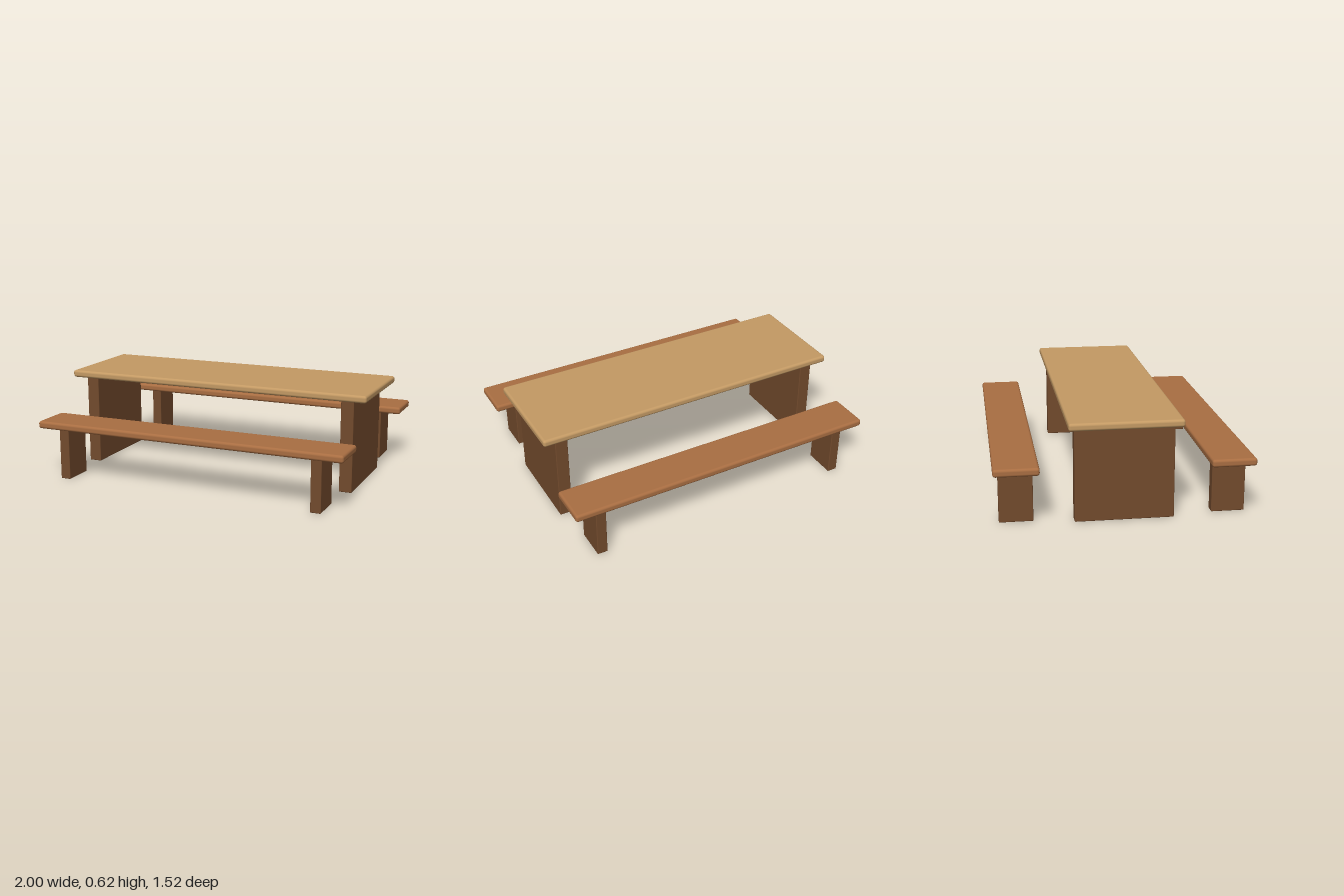
import * as THREE from 'three';
import { RoundedBoxGeometry } from 'three/addons/geometries/RoundedBoxGeometry.js';

function material(name, color) {
  const m = new THREE.MeshStandardMaterial({ color });
  m.name = name;
  return m;
}

export function createModel() {
  const group = new THREE.Group();
  group.name = 'picnicTable';
  const lightWood = material('light wood', 0xc49a64);
  const warmWood = material('warm wood', 0xa96e42);
  const darkWood = material('dark wood', 0x734b2d);

  // Rounded board standing with its underside at the given height
  function board(name, [w, h, d], radius, mat, x, bottom, z) {
    const mesh = new THREE.Mesh(new RoundedBoxGeometry(w, h, d, 3, radius), mat);
    mesh.name = name;
    mesh.position.set(x, bottom + h / 2, z);
    group.add(mesh);
  }

  // Table
  board('tableTop', [2, 0.046, 0.664], 0.016, lightWood, 0, 0.57, 0);
  for (const side of [-1, 1]) {
    const label = side > 0 ? 'left' : 'right';
    board(label + 'TableLeg', [0.08, 0.57, 0.584], 0.005, darkWood, side * 0.875, 0, 0);
  }

  // Front and back benches
  for (const end of [-1, 1]) {
    const row = end > 0 ? 'front' : 'back';
    const z = end * 0.627;
    board(row + 'BenchSeat', [2, 0.047, 0.265], 0.016, warmWood, 0, 0.32, z);
    for (const side of [-1, 1]) {
      const label = side > 0 ? 'Left' : 'Right';
      board(row + label + 'BenchLeg', [0.065, 0.32, 0.2], 0.005, darkWood, side * 0.833, 0, z);
    }
  }
  return group;
}
